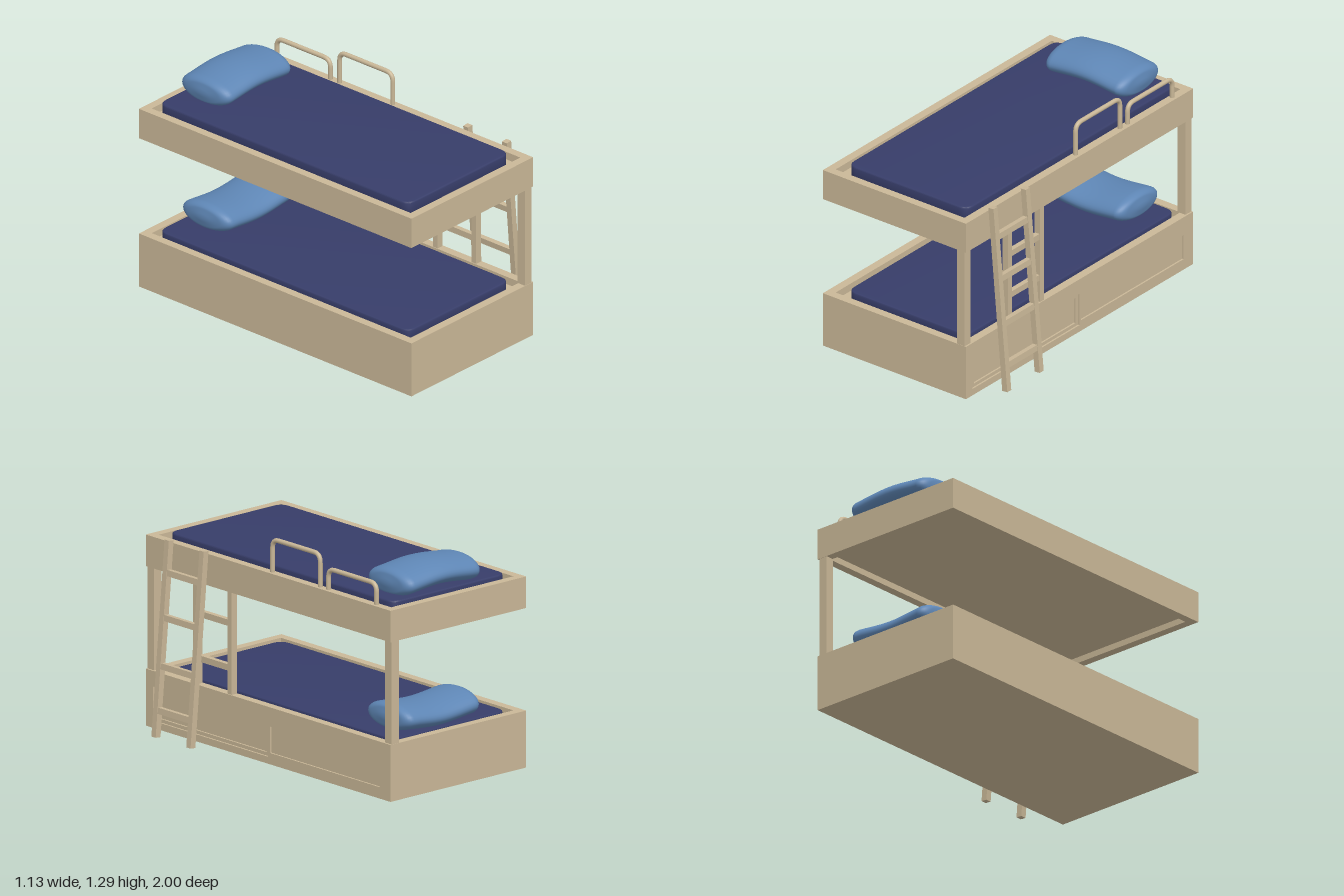
import * as THREE from 'three';
import { mergeVertices, toCreasedNormals } from 'three/addons/utils/BufferGeometryUtils.js';

const wood = new THREE.MeshStandardMaterial({ color: 0xc9b797 });
const navy = new THREE.MeshStandardMaterial({ color: 0x373d69 });
const blue = new THREE.MeshStandardMaterial({ color: 0x5e86b5 });

function add(parent, name, geometry, material = wood) {
  const mesh = new THREE.Mesh(geometry, material);
  mesh.name = name;
  parent.add(mesh);
  return mesh;
}

// Box given by its limits on each axis
function box(parent, name, [x0, x1], [y0, y1], [z0, z1]) {
  const mesh = add(parent, name, new THREE.BoxGeometry(x1 - x0, y1 - y0, z1 - z0));
  mesh.position.set((x0 + x1) / 2, (y0 + y1) / 2, (z0 + z1) / 2);
  return mesh;
}

function rect(PathType, [x0, x1], [y0, y1]) {
  return new PathType([[x0, y0], [x1, y0], [x1, y1], [x0, y1]].map(p => new THREE.Vector2(...p)));
}

// Upright board facing +x with rectangular openings; its drawing axis runs along -z
function openBoard(parent, name, x, depth, outer, holes) {
  const shape = rect(THREE.Shape, ...outer);
  holes.forEach(h => shape.holes.push(rect(THREE.Path, ...h)));
  const mesh = add(parent, name, new THREE.ExtrudeGeometry(shape, { depth, bevelEnabled: false }));
  mesh.rotation.y = Math.PI / 2;
  mesh.position.x = x;
}

// Four walls around a recessed deck
function bedFrame(parent, y, deck, rightInner) {
  box(parent, 'deck', [-0.52, 0.38], deck, [-0.95, 0.95]);
  box(parent, 'leftWall', [-0.57, -0.52], y, [-1, 1]);
  box(parent, 'rightWall', [0.38, rightInner], y, [-1, 1]);
  for (const s of [-1, 1]) {
    box(parent, s > 0 ? 'frontWall' : 'backWall', [-0.52, 0.38], y, s > 0 ? [0.95, 1] : [-1, -0.95]);
  }
}

// Thin mattress with rounded corners and softened edges
function mattress(parent, bottom, top) {
  const w = 0.41, l = 0.91, r = 0.055, b = 0.008;
  const s = new THREE.Shape();
  s.moveTo(-w + r, -l);
  s.lineTo(w - r, -l).quadraticCurveTo(w, -l, w, -l + r);
  s.lineTo(w, l - r).quadraticCurveTo(w, l, w - r, l);
  s.lineTo(-w + r, l).quadraticCurveTo(-w, l, -w, l - r);
  s.lineTo(-w, -l + r).quadraticCurveTo(-w, -l, -w + r, -l);
  const geometry = new THREE.ExtrudeGeometry(s, {
    depth: top - bottom - 2 * b, bevelThickness: b, bevelSize: b, bevelSegments: 3, curveSegments: 8,
  });
  geometry.rotateX(-Math.PI / 2);
  const mesh = add(parent, 'mattress', toCreasedNormals(geometry, 0.7), navy);
  mesh.position.set(-0.0625, bottom + b, -0.02);
}

// Pillow: capsule-like lathe laid along x, flattened and bent
function pillow(parent, y, z, bend) {
  const half = [];
  for (let i = 0; i <= 6; i++) half.push([1, 0.225 * i / 6]);
  for (let i = 1; i <= 8; i++) {
    const a = i / 8 * Math.PI / 2;
    half.push([0.6 + 0.4 * Math.cos(a), 0.225 + 0.055 * Math.sin(a)]);
  }
  half.push([0.3, 0.287], [0, 0.29]);
  const points = [...half.slice(1).reverse().map(([r, x]) => [r, -x]), ...half];
  let geometry = new THREE.LatheGeometry(points.map(p => new THREE.Vector2(...p)), 40);
  geometry.rotateZ(-Math.PI / 2);
  geometry.scale(1, 0.076, 0.181);
  const p = geometry.attributes.position;
  for (let i = 0; i < p.count; i++) {
    const t = p.getX(i) / 0.25;
    p.setY(i, p.getY(i) + bend * (1 - Math.cos(t * 2.6)) / 2);
  }
  geometry.deleteAttribute('normal');
  geometry.deleteAttribute('uv');
  geometry = mergeVertices(geometry, 1e-5);
  geometry.computeVertexNormals();
  add(parent, 'pillow', geometry, blue).position.set(-0.025, y, z);
}

// Bent tube guard rail standing on the upper frame
function guardRail(parent, z0, z1, top) {
  const r = 0.05, y0 = 1.07;
  const v = (y, z) => new THREE.Vector3(0.4, y, z);
  const path = new THREE.CurvePath();
  path.add(new THREE.LineCurve3(v(y0, z0), v(top - r, z0)));
  path.add(new THREE.QuadraticBezierCurve3(v(top - r, z0), v(top, z0), v(top, z0 - r)));
  path.add(new THREE.LineCurve3(v(top, z0 - r), v(top, z1 + r)));
  path.add(new THREE.QuadraticBezierCurve3(v(top, z1 + r), v(top, z1), v(top - r, z1)));
  path.add(new THREE.LineCurve3(v(top - r, z1), v(y0, z1)));
  add(parent, 'guardRail', new THREE.TubeGeometry(path, 80, 0.0135, 12));
}

export function createModel() {
  const model = new THREE.Group();
  model.name = 'bunkBed';

  // Lower bed with drawer fronts let into its right side
  const lower = new THREE.Group();
  lower.name = 'lowerBed';
  model.add(lower);
  bedFrame(lower, [0, 0.325], [0, 0.28], 0.41);
  openBoard(lower, 'drawerSide', 0.41, 0.02, [[-1, 1], [0, 0.325]], [
    [[-0.94, 0], [0.04, 0.235]],
    [[0.015, 0.915], [0.065, 0.215]],
  ]);
  openBoard(lower, 'drawerFrame', 0.41, 0.01, [[-0.94, 0], [0.04, 0.235]], [
    [[-0.915, -0.025], [0.06, 0.215]],
  ]);
  box(lower, 'drawerPanel', [0.41, 0.42], [0.065, 0.215], [-0.915, -0.015]);
  mattress(lower, 0.27, 0.33);
  pillow(lower, 0.381, -0.765, 0.022);

  // Upper bed
  const upper = new THREE.Group();
  upper.name = 'upperBed';
  model.add(upper);
  bedFrame(upper, [0.91, 1.09], [0.945, 1.045], 0.43);
  mattress(upper, 1.035, 1.112);
  pillow(upper, 1.19, -0.772, -0.022);
  guardRail(upper, -0.003, -0.393, 1.277);
  guardRail(upper, -0.46, -0.853, 1.208);

  // Corner posts
  for (const s of [-1, 1]) {
    box(model, 'cornerPost', [0.365, 0.42], [0.32, 0.915], s > 0 ? [0.945, 0.998] : [-0.998, -0.945]);
  }

  // Fixed inner ladder between the beds
  const inner = new THREE.Group();
  inner.name = 'innerLadder';
  model.add(inner);
  for (const z of [0.305, 0.587]) box(inner, 'ladderPost', [0.385, 0.424], [0.32, 0.915], [z, z + 0.035]);
  for (const y of [0.455, 0.71]) box(inner, 'rung', [0.39, 0.419], [y, y + 0.036], [0.33, 0.595]);

  // Leaning outer ladder
  const ladder = new THREE.Group();
  ladder.name = 'leaningLadder';
  ladder.position.set(0.547, 0.005, 0);
  ladder.rotation.z = 0.0876;
  model.add(ladder);
  for (const z of [0.485, 0.77]) box(ladder, 'ladderRail', [-0.018, 0.018], [0, 1.109], [z, z + 0.035]);
  for (const y of [0.135, 0.385, 0.657, 0.91]) box(ladder, 'rung', [-0.015, 0.015], [y, y + 0.035], [0.51, 0.78]);

  return model;
}
